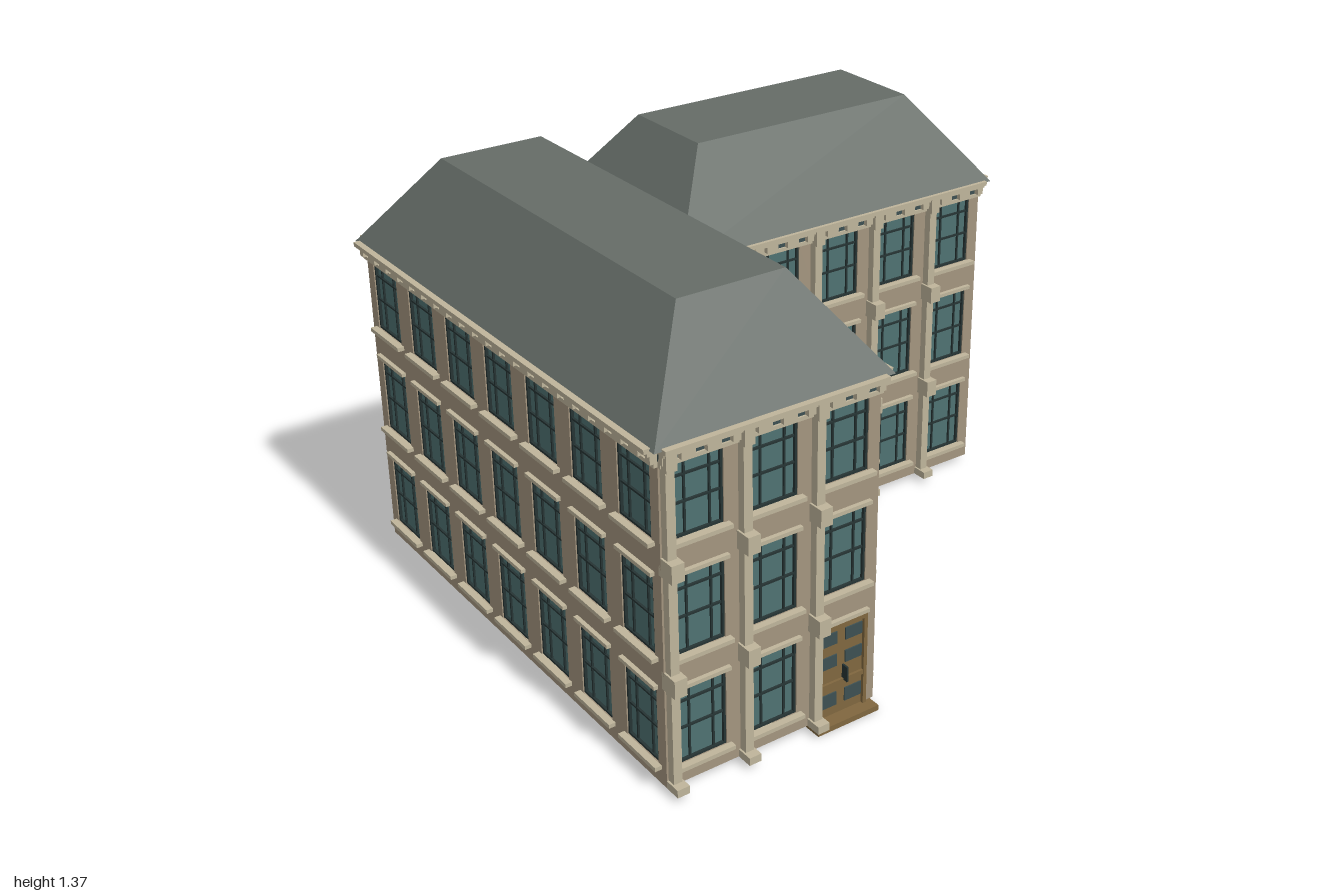
import * as THREE from 'three';
import { mergeGeometries } from 'three/addons/utils/BufferGeometryUtils.js';

const BAY = 0.24, BASE = 0.02, TOP = 1.08;
const WIN_W = 0.16;
const ROWS = [[0.083, 0.333], [0.438, 0.69], [0.796, 1.025]];
const DOOR = { w: 0.18, top: 0.335 };

const mat = (color) => new THREE.MeshStandardMaterial({ color, flatShading: true, roughness: 0.9 });
const materials = {
  trim: mat(0xbfb59b),
  glass: mat(0x4f7272),
  frame: mat(0x263434),
  recess: mat(0x3d5052),
  doorWood: mat(0x80673f),
};
const wallMat = mat(0xa4957f);
const roofMat = mat(0x656c67);

// Box given by its lower and upper corners
function box(x0, x1, y0, y1, z0, z1) {
  const g = new THREE.BoxGeometry(x1 - x0, y1 - y0, z1 - z0);
  return g.translate((x0 + x1) / 2, (y0 + y1) / 2, (z0 + z1) / 2);
}

function rectHole(x0, x1, y0, y1) {
  const p = new THREE.Path();
  p.moveTo(x0, y0);
  p.lineTo(x0, y1);
  p.lineTo(x1, y1);
  p.lineTo(x1, y0);
  p.closePath();
  return p;
}

// Glass pane with outer frame, glazing bars, sill and lintel
function addWindow(parts, cx, y0, y1, isTop) {
  const x0 = cx - WIN_W / 2, x1 = cx + WIN_W / 2, h = y1 - y0, t = 0.007;
  parts.glass.push(box(x0, x1, y0, y1, -0.019, -0.013));
  const bar = (a, b, c, d, z = -0.004) => parts.frame.push(box(a, b, c, d, -0.014, z));
  bar(x0, x0 + t, y0, y1);
  bar(x1 - t, x1, y0, y1);
  bar(x0, x1, y0, y0 + t);
  bar(x0, x1, y1 - t, y1);
  for (const f of [0.27, 0.76]) bar(x0 + f * WIN_W - 0.003, x0 + f * WIN_W + 0.003, y0, y1, -0.007);
  for (const f of [0.44, 0.79]) bar(x0, x1, y0 + f * h - 0.003, y0 + f * h + 0.003, -0.006);
  parts.trim.push(box(cx - 0.096, cx + 0.096, y0 - 0.013, y0, -0.015, 0.022));
  if (!isTop) parts.trim.push(box(cx - 0.09, cx + 0.09, y1, y1 + 0.012, -0.015, 0.014));
}

// Glazed timber door with step and handle
function addDoor(parts, cx) {
  const x0 = cx - DOOR.w / 2, x1 = cx + DOOR.w / 2;
  parts.doorWood.push(box(x0, x1, 0.012, DOOR.top, -0.018, -0.004));
  for (const [a, b] of [[x0, x0 + 0.012], [x1 - 0.012, x1]]) parts.doorWood.push(box(a, b, 0.012, DOOR.top, -0.004, 0.006));
  parts.doorWood.push(box(x0, x1, DOOR.top - 0.02, DOOR.top, -0.004, 0.006));
  parts.doorWood.push(box(x0, x1, 0.12, 0.135, -0.004, 0.004));
  parts.doorWood.push(box(cx - 0.11, cx + 0.11, 0, 0.018, -0.02, 0.04));
  for (const [y0, y1] of [[0.05, 0.095], [0.185, 0.225], [0.262, 0.302]])
    for (const s of [-1, 1]) {
      const c = cx + s * 0.045;
      parts.recess.push(box(c - 0.03, c + 0.03, y0, y1, -0.005, 0));
    }
  parts.frame.push(box(cx + 0.006, cx + 0.012, 0.13, 0.18, -0.004, 0.02));
  parts.trim.push(box(x0, x1, DOOR.top, DOOR.top + 0.012, -0.015, 0.014));
}

// Pilaster with base, band blocks and capital
function addPilaster(parts, cx) {
  const block = (w, y0, y1, d) => parts.trim.push(box(cx - w / 2, cx + w / 2, y0, y1, -0.01, d));
  block(0.028, BASE, TOP - 0.01, 0.026);
  block(0.04, BASE, 0.045, 0.053);
  block(0.04, 0.345, 0.402, 0.053);
  block(0.04, 0.702, 0.758, 0.053);
  block(0.034, 1.02, 1.07, 0.036);
}

// Cornice with a dentil course over a dark recess
function addCornice(parts, len) {
  parts.trim.push(box(0, len, 1.025, 1.037, -0.01, 0.012));
  parts.recess.push(box(0, len, 1.037, 1.064, -0.01, 0.006));
  const pitch = 0.08, n = Math.round(len / pitch);
  for (let i = 0; i <= n; i++) {
    const a = Math.max(0, i * pitch - 0.022), b = Math.min(len, i * pitch + 0.022);
    parts.trim.push(box(a, b, 1.037, 1.064, 0, 0.022));
  }
  parts.trim.push(box(0, len, 1.062, 1.072, -0.01, 0.03));
  parts.trim.push(box(0, len, 1.072, 1.086, -0.01, 0.04));
}

// One facade: runs along local x, faces local +z
function facade(name, bays, { pilasters = false, doorBay = -1 } = {}) {
  const group = new THREE.Group();
  group.name = name;
  const len = bays * BAY;
  const parts = { trim: [], glass: [], frame: [], recess: [], doorWood: [] };
  const wall = new THREE.Shape();
  wall.moveTo(0, BASE);
  if (doorBay >= 0) {
    const c = (doorBay + 0.5) * BAY;
    wall.lineTo(c - DOOR.w / 2, BASE);
    wall.lineTo(c - DOOR.w / 2, DOOR.top);
    wall.lineTo(c + DOOR.w / 2, DOOR.top);
    wall.lineTo(c + DOOR.w / 2, BASE);
  }
  wall.lineTo(len, BASE);
  wall.lineTo(len, TOP);
  wall.lineTo(0, TOP);
  wall.closePath();

  for (let i = 0; i < bays; i++) {
    const cx = (i + 0.5) * BAY;
    ROWS.forEach(([y0, y1], r) => {
      if (r === 0 && i === doorBay) return addDoor(parts, cx);
      wall.holes.push(rectHole(cx - WIN_W / 2, cx + WIN_W / 2, y0, y1));
      addWindow(parts, cx, y0, y1, r === 2);
    });
    if (pilasters) addPilaster(parts, i * BAY + 0.02);
  }
  addCornice(parts, len);

  const wallGeo = new THREE.ExtrudeGeometry(wall, { depth: 0.02, bevelEnabled: false }).translate(0, 0, -0.02);
  const wallMesh = new THREE.Mesh(wallGeo, wallMat);
  wallMesh.name = 'wall';
  group.add(wallMesh);
  for (const key in parts) {
    if (!parts[key].length) continue;
    const mesh = new THREE.Mesh(mergeGeometries(parts[key]), materials[key]);
    mesh.name = key;
    group.add(mesh);
  }
  return group;
}

// Flat-topped hip roof: a box with its top pulled inwards
function hipRoof(name, x0, x1, z0, z1, inset) {
  const g = box(x0, x1, TOP, 1.37, z0, z1);
  const p = g.attributes.position;
  const cx = (x0 + x1) / 2, cz = (z0 + z1) / 2;
  for (let i = 0; i < p.count; i++) {
    if (p.getY(i) < 1.2) continue;
    p.setX(i, p.getX(i) - Math.sign(p.getX(i) - cx) * inset);
    p.setZ(i, p.getZ(i) - Math.sign(p.getZ(i) - cz) * inset);
  }
  g.computeVertexNormals();
  const mesh = new THREE.Mesh(g, roofMat);
  mesh.name = name;
  return mesh;
}

export function createModel() {
  const model = new THREE.Group();
  model.name = 'cornerBuilding';
  const Q = Math.PI / 2, X = 0.96, IN = -0.24, BACK = -0.852, FRONT = 0.828, MID = -0.132;

  // name, bays, start x, start z, turn, options
  const sides = [
    ['longWingFront', 3, -X, FRONT, 0, { pilasters: true, doorBay: 2 }],
    ['shortWingFront', 5, IN, MID, 0, { pilasters: true }],
    ['courtyardSide', 4, IN, FRONT, Q, {}],
    ['shortWingEnd', 3, X, MID, Q, {}],
    ['backSide', 8, X, BACK, 2 * Q, {}],
    ['longWingSide', 7, -X, BACK, -Q, {}],
  ];
  for (const [name, bays, x, z, turn, options] of sides) {
    const f = facade(name, bays, options);
    f.position.set(x, 0, z);
    f.rotation.y = turn;
    model.add(f);
  }

  // Two roofs meeting in a valley
  model.add(hipRoof('longWingRoof', -0.984, -0.21, -0.872, 0.852, 0.213));
  model.add(hipRoof('shortWingRoof', -0.274, 0.984, -0.872, -0.1, 0.213));
  return model;
}
